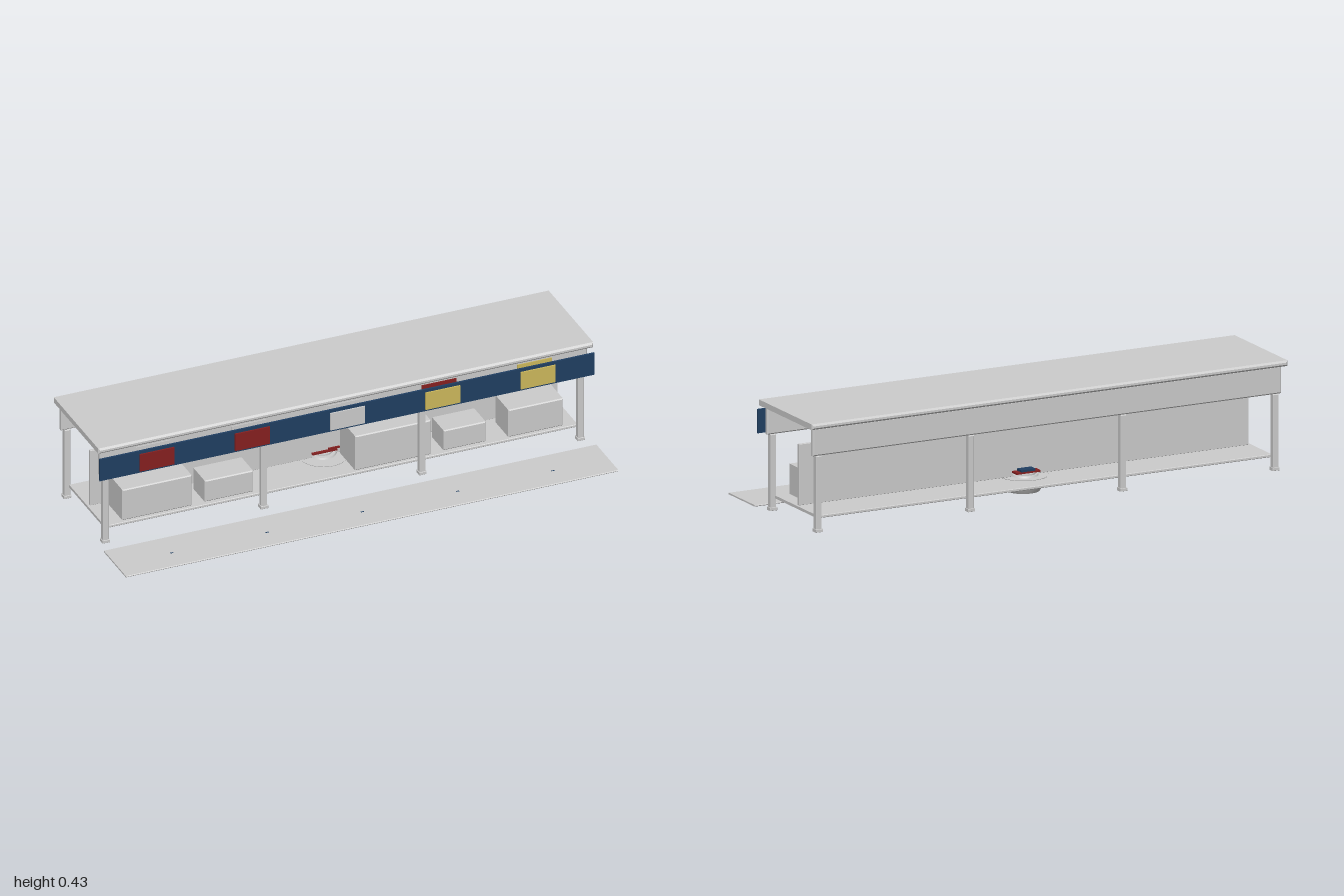
import * as THREE from 'three';

const paint = (name, color, side = THREE.FrontSide) => {
  const m = new THREE.MeshStandardMaterial({ color, side });
  m.name = name;
  return m;
};

export function createModel() {
  const model = new THREE.Group();
  model.name = 'workbench';
  const grey = paint('pale grey', 0xcccccc, THREE.DoubleSide);
  const navy = paint('navy', 0x203f62);
  const red = paint('dark red', 0x862020);
  const yellow = paint('straw yellow', 0xcdb85c);

  const add = (name, geometry, material, x = 0, y = 0, z = 0) => {
    const mesh = new THREE.Mesh(geometry, material);
    mesh.name = name;
    mesh.position.set(x, y, z);
    model.add(mesh);
    return mesh;
  };

  // Box given by its extents, with optional chamfered edges on all sides
  const block = (name, material, [x0, x1], [y0, y1], [z0, z1], c = 0) => {
    const w = x1 - x0, h = y1 - y0, d = z1 - z0;
    let g;
    if (c) {
      const a = w / 2 - c, b = h / 2 - c;
      const s = new THREE.Shape();
      s.moveTo(-a, -b).lineTo(a, -b).lineTo(a, b).lineTo(-a, b).closePath();
      g = new THREE.ExtrudeGeometry(s, {
        depth: d - 2 * c, bevelEnabled: true, bevelSize: c, bevelThickness: c, bevelSegments: 1,
      });
      g.translate(0, 0, c - d / 2);
    } else {
      g = new THREE.BoxGeometry(w, h, d);
    }
    return add(name, g, material, (x0 + x1) / 2, (y0 + y1) / 2, (z0 + z1) / 2);
  };

  // Tabletop, shelf, divider and floor mat
  block('tabletop', grey, [-1, 1], [0.41, 0.432], [-0.335, 0.095], 0.007);
  block('shelf', grey, [-0.955, 0.955], [0.057, 0.068], [-0.29, 0.047], 0.002);
  block('divider', grey, [-0.945, 0.945], [0.068, 0.302], [-0.127, -0.115], 0.001);
  block('floorMat', grey, [-0.995, 0.995], [0.01, 0.016], [0.128, 0.337], 0.002);

  // Aprons and legs, front and back rows
  for (const z of [0.058, -0.302]) {
    block('apron', grey, [-0.985, 0.985], [0.303, 0.41], [z - 0.011, z + 0.011], 0.005);
    for (const x of [-0.96, -0.32, 0.32, 0.96]) {
      block('leg', grey, [x - 0.012, x + 0.012], [0.015, 0.302], [z - 0.011, z + 0.011], 0.002);
      block('foot', grey, [x - 0.015, x + 0.015], [0.01, 0.022], [z - 0.014, z + 0.014], 0.001);
    }
  }

  // Storage boxes on the shelf: left, right, top, back, front
  for (const [x0, x1, top, back, front] of [
    [-0.88, -0.6, 0.2, -0.1, 0.038],
    [-0.545, -0.35, 0.16, -0.08, 0.033],
    [0.06, 0.365, 0.216, -0.106, 0.04],
    [0.42, 0.59, 0.155, -0.08, 0.033],
    [0.68, 0.9, 0.186, -0.09, 0.038],
  ]) block('storageBox', grey, [x0, x1], [0.07, top], [back, front], 0.004);

  // Sign board with coloured panels, and a second row on the apron behind it
  block('signBoard', navy, [-1, 1], [0.3, 0.392], [0.095, 0.103]);
  [red, red, grey, yellow, yellow].forEach((m, i) => {
    const x = (i - 2) * 0.385;
    block('signPanel', m, [x - 0.07, x + 0.07], [0.308, 0.38], [0.103, 0.109]);
    block('apronPanel', i === 4 ? yellow : i === 3 ? red : grey,
      [x - 0.07, x + 0.07], [0.318, 0.393], [0.068, 0.073]);
    block('apronStripe', navy, [x - 0.04, x + 0.04], [0.343, 0.368], [0.073, 0.075]);
    block('matMarker', navy, [x - 0.006, x + 0.006], [0.016, 0.0165], [0.242, 0.247]);
  });

  // Bowl hanging under the shelf, open below, with blades inside
  const bowl = [[0.062, 0.01], [0.07, 0.022], [0.08, 0.04], [0.09, 0.058], [0.095, 0.07]]
    .map(([r, y]) => new THREE.Vector2(r, y));
  add('bowl', new THREE.LatheGeometry(bowl, 32), grey, 0, 0, -0.121);
  for (const turn of [0.4, 1.45, 2.5]) {
    const blade = add('blade', new THREE.BoxGeometry(0.08, 0.008, 0.014), red, 0, 0.05, -0.121);
    blade.rotation.y = turn;
  }
  const flap = add('flap', new THREE.CylinderGeometry(0.033, 0.033, 0.003, 24), grey, 0, 0.027, -0.034);
  flap.rotation.x = -0.9;

  // Small turntable behind the divider
  add('turntableBase', new THREE.CylinderGeometry(0.05, 0.053, 0.007, 32), grey, 0, 0.0735, -0.131);
  add('turntableDisc', new THREE.CylinderGeometry(0.04, 0.04, 0.006, 32), grey, 0, 0.08, -0.135);
  block('redBlock', red, [-0.05, 0.05], [0.083, 0.09], [-0.163, -0.105]);
  block('navyBlock', navy, [-0.03, 0.03], [0.09, 0.098], [-0.163, -0.128]);
  block('pointer', red, [0.015, 0.06], [0.092, 0.098], [-0.112, -0.105]);

  return model;
}
